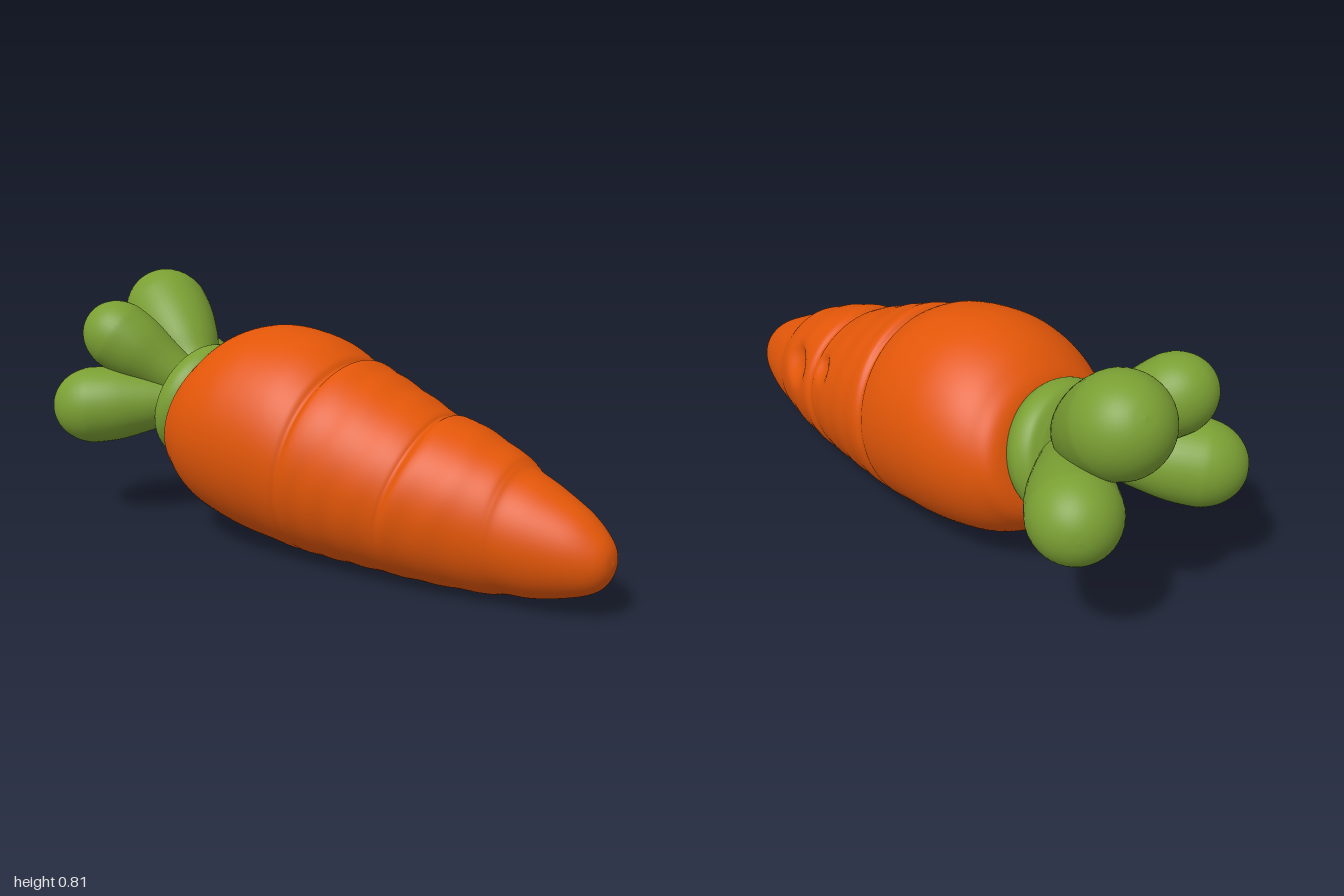
import * as THREE from 'three';

const orange = new THREE.MeshStandardMaterial({ color: 0xe25608 });
orange.name = 'carrot orange';
const green = new THREE.MeshStandardMaterial({ color: 0x7a9f33 });
green.name = 'leaf green';

// Root sections from tip to shoulder: z at the top, top y, bottom y, half width
const SECTIONS = [
  [1.0, 0.17, 0.17, 0], [0.99, 0.215, 0.125, 0.042], [0.96, 0.255, 0.085, 0.075],
  [0.9, 0.303, 0.055, 0.11], [0.8, 0.355, 0.025, 0.15], [0.73, 0.385, 0.018, 0.171],
  [0.705, 0.404, 0.012, 0.182], [0.68, 0.423, 0.006, 0.192], [0.6, 0.458, 0, 0.222],
  [0.52, 0.488, -0.004, 0.243], [0.465, 0.498, -0.005, 0.256], [0.435, 0.49, -0.005, 0.254],
  [0.41, 0.509, -0.005, 0.263], [0.3, 0.557, -0.005, 0.286], [0.2, 0.598, -0.005, 0.303],
  [0.13, 0.622, -0.004, 0.313], [0.1, 0.609, 0, 0.308], [0.075, 0.634, -0.002, 0.317],
  [0, 0.672, 0.008, 0.328], [-0.1, 0.694, 0.02, 0.335], [-0.2, 0.698, 0.042, 0.333],
  [-0.3, 0.675, 0.073, 0.313], [-0.38, 0.63, 0.122, 0.275], [-0.44, 0.56, 0.19, 0.215],
  [-0.47, 0.42, 0.3, 0],
];

// Small pits on the left flank: z, y, radius, depth
const DIMPLES = [[0.55, 0.325, 0.052, 0.036], [0.36, 0.385, 0.034, 0.024]];

function dent(p) {
  if (p.x < 0.05) return;
  for (const [z, y, r, depth] of DIMPLES) {
    const d = Math.hypot((p.z - z) * 0.85, p.y - y) / r;
    p.x -= depth * Math.exp(-(d ** 3));
  }
}

// Lofted root with sheared, creased sections
function rootGeometry() {
  const rings = 200, sides = 112;
  const curve = (f) => new THREE.CatmullRomCurve3(SECTIONS.map(f), false, 'catmullrom', 0.5);
  const heights = curve(([z, top, bottom]) => new THREE.Vector3(z, top, bottom));
  const widths = curve(([z, , , w]) => new THREE.Vector3(z, w, 0));
  const positions = [], index = [];
  const p = new THREE.Vector3();
  for (let i = 0; i <= rings; i++) {
    const h = heights.getPoint(i / rings);
    const z = h.x, top = h.y, bottom = h.z;
    const w = Math.max(0, widths.getPoint(i / rings).y);
    const shear = 0.1 * THREE.MathUtils.smoothstep(0.95 - z, 0, 0.65);
    const band = THREE.MathUtils.smoothstep(z, 0.1, 0.2) * (1 - THREE.MathUtils.smoothstep(z, 0.6, 0.75));
    for (let j = 0; j < sides; j++) {
      const a = (j / sides) * Math.PI * 2;
      const c = Math.cos(a), s = Math.sin(a);
      const k = 1 + 0.005 * band * Math.sin(z * 58 + 1.2 * Math.sin(a * 2));
      p.set(
        -0.015 + w * c * k,
        Math.max(0, (top + bottom) / 2 + ((top - bottom) / 2) * s * k),
        z - (shear * (1 - s)) / 2 + 0.008 * band * Math.sin(3 * a + 1),
      );
      dent(p);
      positions.push(p.x, p.y, p.z);
      if (i < rings) {
        const n = (j + 1) % sides;
        const A = i * sides + j, B = A + sides, C = i * sides + n, D = C + sides;
        index.push(A, B, C, B, D, C);
      }
    }
  }
  const g = new THREE.BufferGeometry();
  g.setAttribute('position', new THREE.Float32BufferAttribute(positions, 3));
  g.setIndex(index);
  g.computeVertexNormals();
  return g;
}

// Smooth lathe through a few [radius, height] points
function smoothLathe(points, divisions, sides) {
  const curve = new THREE.SplineCurve(points.map(([r, y]) => new THREE.Vector2(r, y)));
  const profile = curve.getPoints(divisions);
  profile.forEach((q) => { q.x = Math.max(0, q.x); });
  return new THREE.LatheGeometry(profile, sides);
}

const UP = new THREE.Vector3(0, 1, 0);

function addPart(group, name, geometry, material, position, direction) {
  const mesh = new THREE.Mesh(geometry, material);
  mesh.name = name;
  if (position) mesh.position.copy(position);
  if (direction) mesh.quaternion.setFromUnitVectors(UP, direction);
  group.add(mesh);
}

// Plump leaf: short stalk swelling to a long rounded end of radius r
function leafGeometry(length, r) {
  const points = [[0.07, -0.03], [0.078, length * 0.12], [r * 0.78, length * 0.4], [r * 0.95, length * 0.72]];
  for (let i = 0; i <= 6; i++) {
    const a = (i / 6) * Math.PI / 2;
    points.push([r * Math.cos(a), length + r * 1.1 * Math.sin(a)]);
  }
  return smoothLathe(points, 48, 40);
}

export function createModel() {
  const model = new THREE.Group();
  model.name = 'carrot';
  addPart(model, 'root', rootGeometry(), orange);

  // Tilted rounded collar with a hub for the leaves
  const axis = new THREE.Vector3(0, 0.3, -0.954).normalize();
  const collar = new THREE.Vector3(-0.015, 0.4, -0.53);
  const collarProfile = [
    [0.12, -0.07], [0.155, -0.063], [0.19, -0.045], [0.207, 0], [0.192, 0.043], [0.158, 0.06],
    [0.128, 0.068], [0.108, 0.09], [0.075, 0.13], [0, 0.15],
  ];
  addPart(model, 'collar', smoothLathe(collarProfile, 60, 64), green, collar, axis);

  // Leaves: name, centre of the round end, radius
  const hub = collar.clone().addScaledVector(axis, 0.055);
  const leaves = [
    ['tallLeaf', 0.12, 0.66, -0.838, 0.147],
    ['leftLeaf', 0.253, 0.437, -0.824, 0.131],
    ['rightLeaf', -0.257, 0.393, -0.812, 0.128],
    ['upperRightLeaf', -0.173, 0.62, -0.768, 0.117],
  ];
  for (const [name, x, y, z, r] of leaves) {
    const end = new THREE.Vector3(x, y, z);
    // each stalk starts a little off the hub, towards its own side
    const start = new THREE.Vector3(hub.x + (x - hub.x) * 0.25, hub.y + (y - hub.y) * 0.25, hub.z);
    const direction = end.sub(start);
    const length = direction.length();
    addPart(model, name, leafGeometry(length, r), green, start, direction.normalize());
  }
  return model;
}
